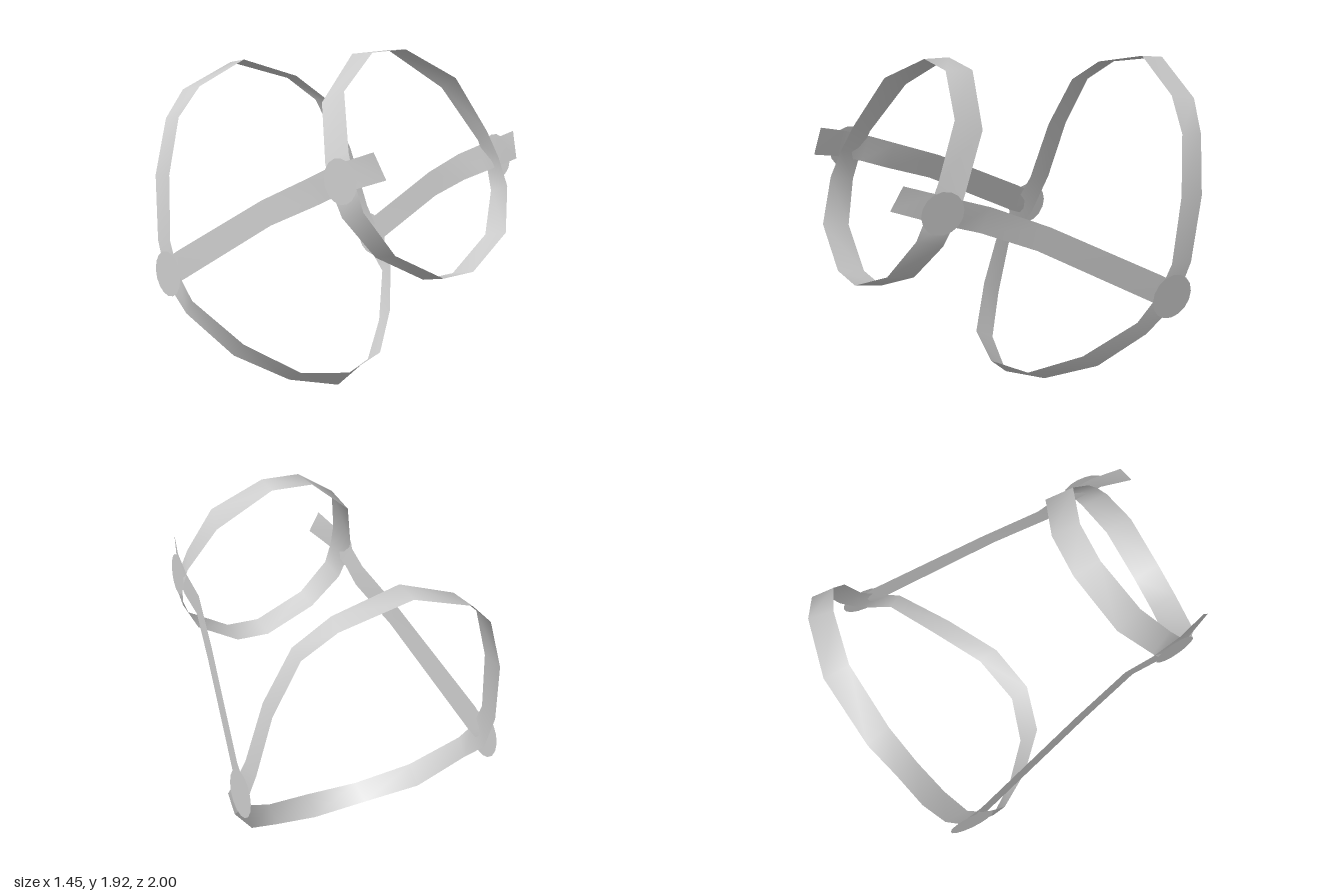
import * as THREE from 'three';

const material = new THREE.MeshStandardMaterial({ color: 0xcccccc, side: THREE.DoubleSide });

// Thin band between two edges; each row is [x, y, z, x, y, z]
function band(name, rows, closed) {
  const n = rows.length, index = [];
  for (let i = 0; i < (closed ? n : n - 1); i++) {
    const a = 2 * i, b = 2 * ((i + 1) % n);
    index.push(a, a + 1, b, b, a + 1, b + 1);
  }
  const geometry = new THREE.BufferGeometry();
  geometry.setAttribute('position', new THREE.Float32BufferAttribute(rows.flat(), 3));
  geometry.setIndex(index);
  geometry.computeVertexNormals();
  const mesh = new THREE.Mesh(geometry, material);
  mesh.name = name;
  return mesh;
}

const mirrorRow = ([a, b, c, d, e, f]) => [-a, b, c, -d, e, f];

// Closed loop from its left half, listed from top to bottom
function ring(name, half) {
  const other = half.filter(r => r[0] > 0).map(mirrorRow).reverse();
  return band(name, [...half, ...other], true);
}

// Flat round plate covering a joint, facing outwards
function disc(name, side, x, y, z, radius, tilt) {
  const mesh = new THREE.Mesh(new THREE.CircleGeometry(radius, 16), material);
  mesh.position.set(side * x, y, z);
  mesh.rotation.y = side * (Math.PI / 2 - tilt);
  mesh.name = name;
  return mesh;
}

export function createModel() {
  const model = new THREE.Group();
  model.name = 'strapHarness';

  // Small loop at the front: front edge, then back edge
  model.add(ring('frontRing', [
    [0.11, 1.92, 0.45, 0.12, 1.90, 0.30],
    [0.37, 1.76, 0.55, 0.40, 1.69, 0.41],
    [0.46, 1.49, 0.70, 0.51, 1.42, 0.58],
    [0.48, 1.36, 0.77, 0.52, 1.30, 0.64],
    [0.48, 1.22, 0.84, 0.50, 1.17, 0.70],
    [0.37, 1.01, 0.95, 0.37, 0.97, 0.80],
    [0.10, 0.86, 1.00, 0.10, 0.82, 0.85],
  ]));

  // Large loop at the back
  model.add(ring('rearRing', [
    [0, 1.74, -0.86, 0, 1.71, -1.00],
    [0.34, 1.62, -0.81, 0.37, 1.59, -0.94],
    [0.52, 1.47, -0.75, 0.53, 1.45, -0.87],
    [0.64, 1.17, -0.67, 0.65, 1.15, -0.80],
    [0.70, 0.82, -0.58, 0.70, 0.80, -0.71],
    [0.715, 0.66, -0.48, 0.715, 0.58, -0.60],
    [0.705, 0.53, -0.36, 0.70, 0.44, -0.43],
    [0.52, 0.30, -0.14, 0.52, 0.21, -0.24],
    [0.28, 0.14, 0.06, 0.28, 0.07, -0.05],
    [0, 0.10, 0.13, 0, 0.00, 0.03],
  ]));

  // Side straps run from the front tabs back to the rear joints: upper edge, then lower edge
  const strap = [
    [0.46, 1.52, 0.89, 0.43, 1.39, 0.95],
    [0.50, 1.46, 0.74, 0.49, 1.33, 0.80],
    [0.515, 1.39, 0.58, 0.51, 1.26, 0.64],
    [0.51, 1.32, 0.43, 0.50, 1.19, 0.49],
    [0.575, 1.16, 0.12, 0.565, 1.04, 0.19],
    [0.71, 0.78, -0.50, 0.70, 0.63, -0.45],
    [0.72, 0.70, -0.62, 0.72, 0.58, -0.55],
  ];
  for (const [label, side] of [['left', 1], ['right', -1]]) {
    model.add(band(label + 'Strap', side > 0 ? strap : strap.map(mirrorRow), false));
    model.add(disc(label + 'FrontDisc', side, 0.52, 1.355, 0.71, 0.115, 0.1));
    model.add(disc(label + 'RearDisc', side, 0.727, 0.64, -0.57, 0.128, 0));
  }
  return model;
}
